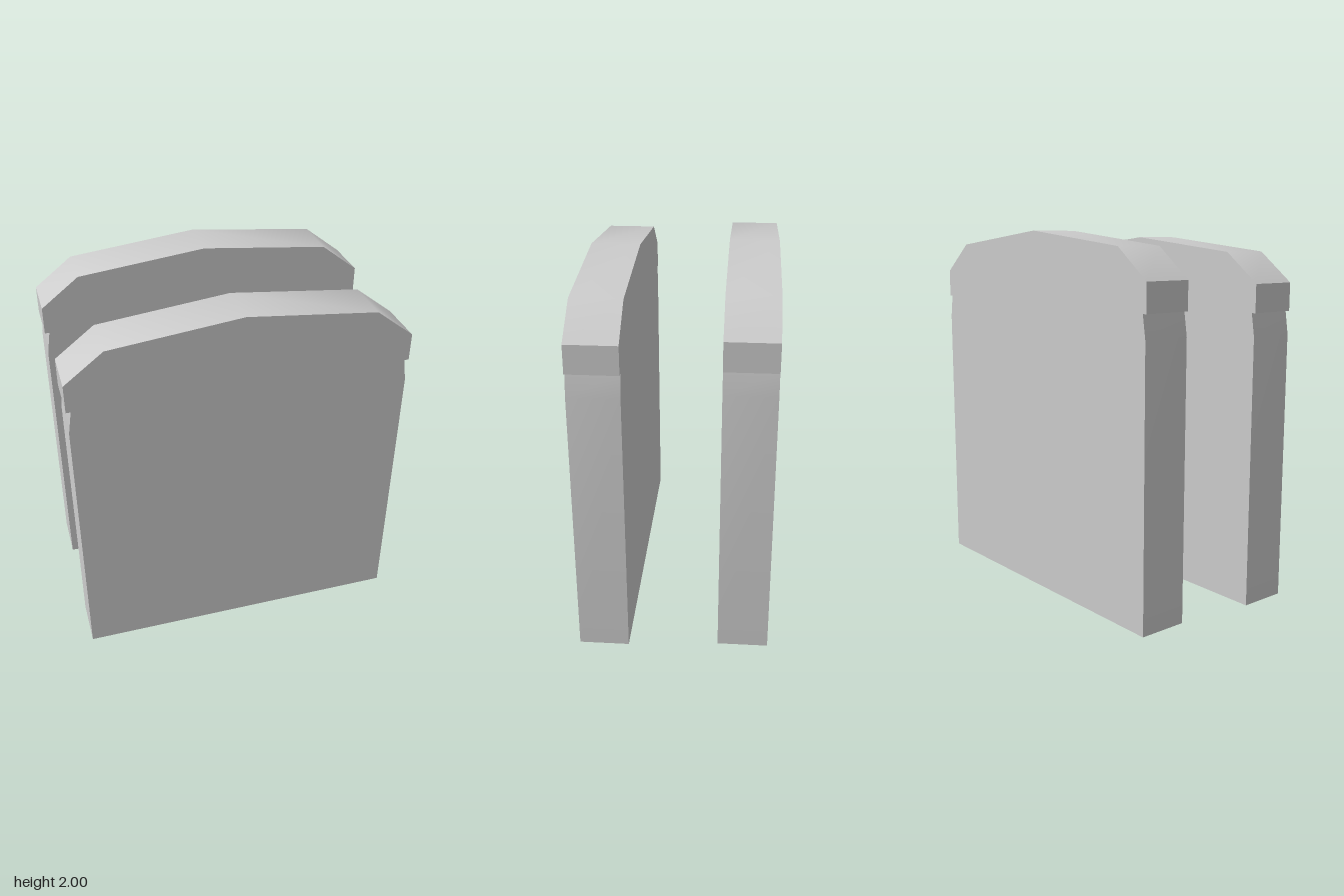
import * as THREE from 'three';
import { toCreasedNormals } from 'three/addons/utils/BufferGeometryUtils.js';

const DEPTH = 0.265;

// Right half of the slab outline, from the foot up to the ridge
const HALF = [
  [0.893, 0], [0.893, 1.46], [0.874, 1.583], // side, tapering into the notch
  [0.898, 1.583], [0.898, 1.732],            // overhanging lip
  [0.693, 1.89], [0, 1.966],                 // sloped crown
];

function slabGeometry() {
  const mirrored = HALF.slice(0, -1).reverse().map(([x, y]) => [-x, y]);
  const outline = [...HALF, ...mirrored].map(([x, y]) => new THREE.Vector2(x, y));
  const geometry = new THREE.ExtrudeGeometry(new THREE.Shape(outline), {
    depth: DEPTH, bevelEnabled: false,
  });
  // Smooth across the crown and side bends, sharp at the lip and faces
  return toCreasedNormals(geometry, THREE.MathUtils.degToRad(40));
}

export function createModel() {
  const model = new THREE.Group();
  model.name = 'slabPair';
  const material = new THREE.MeshStandardMaterial({ color: 0xcccccc });
  const geometry = slabGeometry();

  // The back slab sits slightly higher than the front one
  for (const [name, y, z] of [['frontSlab', 0, 0.24], ['backSlab', 0.034, -0.505]]) {
    const slab = new THREE.Mesh(geometry, material);
    slab.name = name;
    slab.position.set(0, y, z);
    model.add(slab);
  }
  return model;
}
